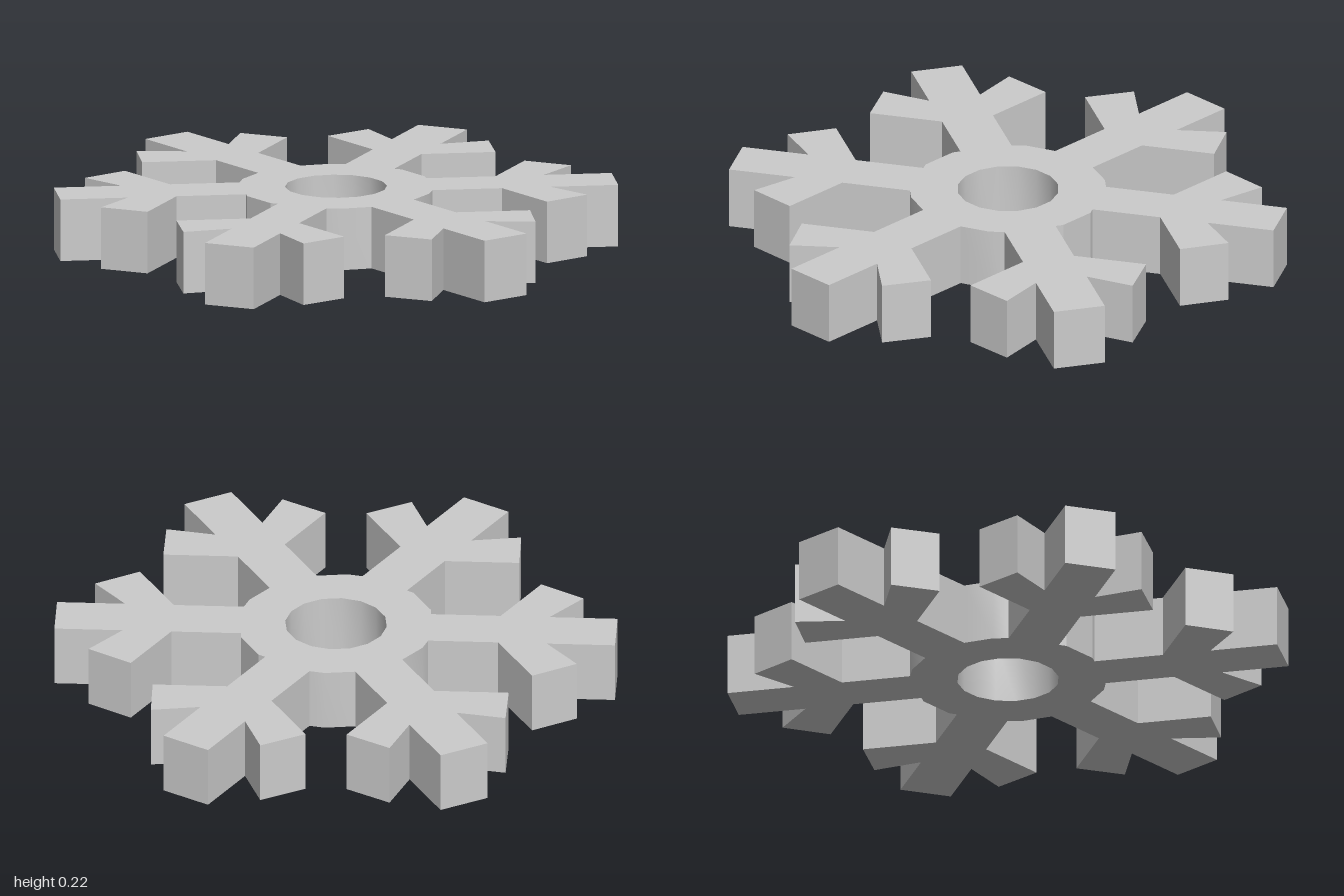
import * as THREE from 'three';
import { toCreasedNormals } from 'three/addons/utils/BufferGeometryUtils.js';

const HEIGHT = 0.225, HUB_R = 0.352, HOLE_R = 0.182, SIDES = 16;

// Half of one arm as [distance along the arm, distance from its axis]
const HALF_ARM = [
  [0.334, 0.094], [0.583, 0.094], [0.716, 0.324],
  [0.871, 0.232], [0.757, 0.094], [1, 0.094],
];

const polar = (r, deg) => {
  const a = THREE.MathUtils.degToRad(deg);
  return new THREE.Vector2(r * Math.cos(a), r * Math.sin(a));
};

// Full arm outline, counter-clockwise, turned to its direction
function armPoints(deg) {
  const lower = HALF_ARM.map(([x, y]) => new THREE.Vector2(x, -y));
  const upper = HALF_ARM.map(([x, y]) => new THREE.Vector2(x, y)).reverse();
  const turn = THREE.MathUtils.degToRad(deg);
  // slanted arms sit slightly outwards from the centre line
  const slanted = deg % 180 !== 0;
  const shift = slanted
    ? new THREE.Vector2(0.008 * Math.sign(Math.cos(turn)), -0.005 * Math.sign(Math.sin(turn)))
    : new THREE.Vector2();
  return [...lower, ...upper].map((p) => p.rotateAround(new THREE.Vector2(), turn).add(shift));
}

export function createModel() {
  // Six arms joined by the hub corners visible in each gap
  const gapCorners = [[33.75], [78.75, 101.25], [146.25], [213.75], [258.75, 281.25], [326.25]];
  const outline = [];
  gapCorners.forEach((corners, i) => {
    outline.push(...armPoints(i * 60), ...corners.map((deg) => polar(HUB_R, deg)));
  });
  const shape = new THREE.Shape(outline);

  // Round centre hole
  const hole = [];
  for (let i = 0; i < SIDES; i++) hole.push(polar(HOLE_R, -(i + 0.5) * 360 / SIDES));
  shape.holes.push(new THREE.Path(hole));

  const extruded = new THREE.ExtrudeGeometry(shape, { depth: HEIGHT, bevelEnabled: false });
  extruded.rotateX(-Math.PI / 2);

  // Smooth the hole and hub walls, keep the arm edges sharp
  const snowflake = new THREE.Mesh(
    toCreasedNormals(extruded, 0.45),
    new THREE.MeshStandardMaterial({ color: 0xcccccc }),
  );
  snowflake.name = 'snowflake';

  const group = new THREE.Group();
  group.name = 'snowflakeOrnament';
  group.add(snowflake);
  return group;
}
